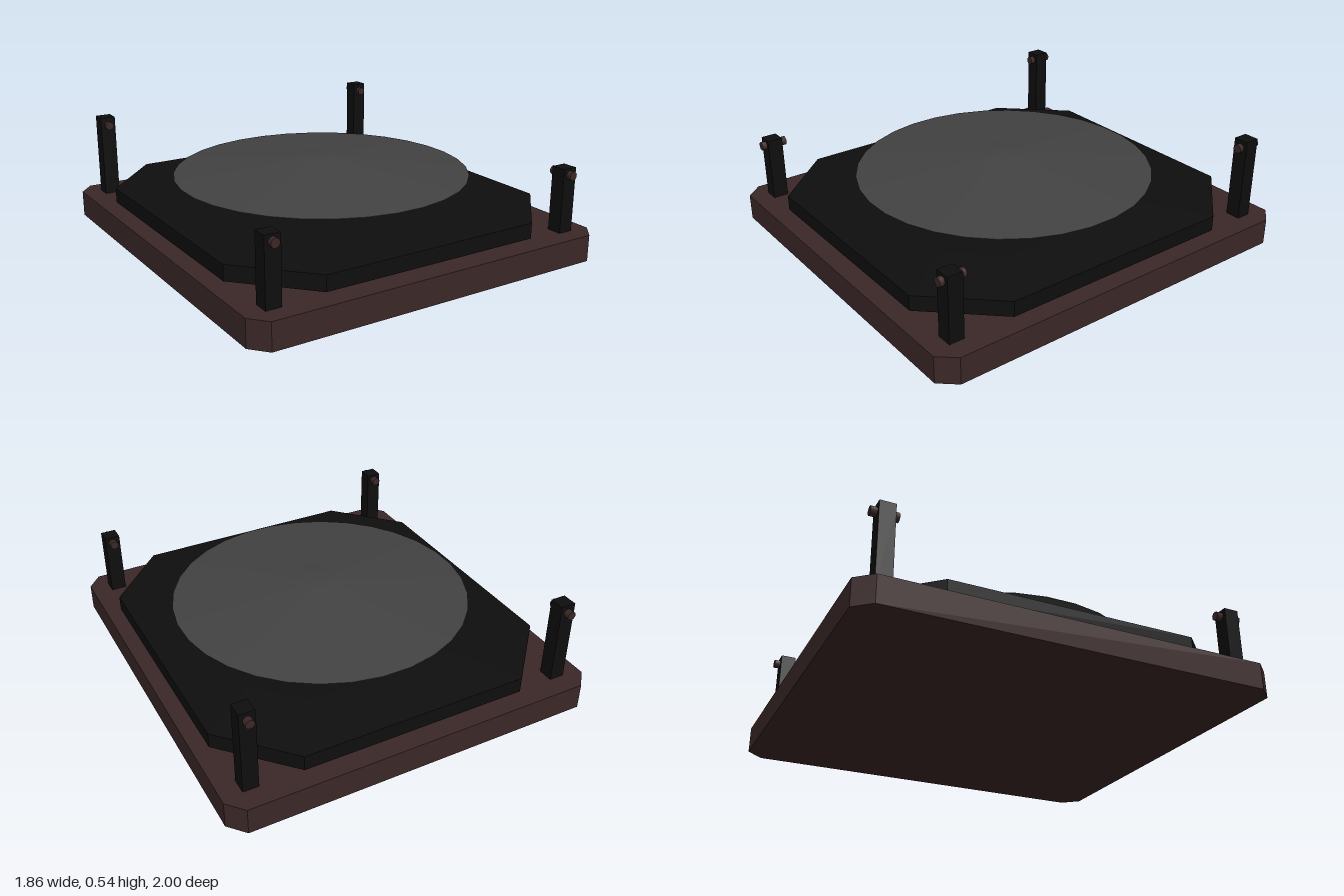
import * as THREE from 'three';

const flat = (name, color) => {
  const m = new THREE.MeshStandardMaterial({ color });
  m.name = name;
  return m;
};

// Rectangle outline with cut corners, counter-clockwise in x/y
function cutRect(w, d, cx, cy) {
  return [
    [w, -d + cy], [w, d - cy], [w - cx, d], [-w + cx, d],
    [-w, d - cy], [-w, -d + cy], [-w + cx, -d], [w - cx, -d],
  ];
}

// Faceted solid from a stack of scaled copies of an outline, bottom to top
function stack(outline, levels) {
  const pos = [];
  const n = outline.length;
  const at = ([s, y], i) => {
    const [x, z] = outline[i % n];
    return [x * s, y, -z * s];
  };
  for (let k = 0; k < levels.length - 1; k++) {
    for (let i = 0; i < n; i++) {
      const a = at(levels[k], i), b = at(levels[k], i + 1);
      const c = at(levels[k + 1], i + 1), d = at(levels[k + 1], i);
      pos.push(...a, ...b, ...c, ...a, ...c, ...d);
    }
  }
  const low = levels[0], high = levels[levels.length - 1];
  for (let i = 0; i < n; i++) {
    pos.push(0, low[1], 0, ...at(low, i + 1), ...at(low, i));
    pos.push(0, high[1], 0, ...at(high, i), ...at(high, i + 1));
  }
  const g = new THREE.BufferGeometry();
  g.setAttribute('position', new THREE.Float32BufferAttribute(pos, 3));
  g.computeVertexNormals();
  return g;
}

// Faceted turned solid with its flats facing the axes
function turned(points, sides) {
  const g = new THREE.LatheGeometry(points.map(([r, y]) => new THREE.Vector2(r, y)), sides, Math.PI / sides)
    .toNonIndexed();
  g.computeVertexNormals();
  return g;
}

export function createModel() {
  const brown = flat('dark brown', 0x3b2727);
  const black = flat('black', 0x0e0e0e);
  const grey = flat('dark grey', 0x424242);

  const model = new THREE.Group();
  const add = (name, geometry, material, parent = model) => {
    const mesh = new THREE.Mesh(geometry, material);
    mesh.name = name;
    parent.add(mesh);
    return mesh;
  };

  // Base board with small cut corners
  add('base', stack(cutRect(0.93, 1, 0.07, 0.08), [[1, 0], [1, 0.13]]), brown);

  // Octagonal plate, bevelled above and below
  add('plate', stack(cutRect(0.86, 0.92, 0.3, 0.32),
    [[0.7, 0.13], [1, 0.15], [1, 0.225], [0.68, 0.245]]), black);

  // Domed pedestal under the disc
  add('pedestal', turned([[0.325, 0.24], [0.305, 0.265], [0.283, 0.285],
    [0.258, 0.31], [0.225, 0.338]], 32), grey);

  // Wide shallow cone with a flat cap and flat underside
  add('disc', turned([[0, 0.335], [0.736, 0.335], [0.736, 0.338],
    [0.2, 0.393], [0.07, 0.409], [0, 0.41]], 32), grey);

  // Corner posts, taller at the back, each with a peg running front to back
  for (const side of [-1, 1]) {
    for (const [place, z, top, pegY, pegZ] of [
      ['front', 0.87, 0.445, 0.413, 0.866],
      ['back', -0.86, 0.54, 0.5, -0.863],
    ]) {
      const post = new THREE.Group();
      post.name = `${place}${side > 0 ? 'Left' : 'Right'}Post`;
      model.add(post);
      add('postShaft', new THREE.BoxGeometry(0.075, top - 0.12, 0.075), black, post)
        .position.set(side * 0.797, (top + 0.12) / 2, z);
      const peg = add('peg', new THREE.CylinderGeometry(0.022, 0.022, 0.128, 10), brown, post);
      peg.rotation.x = Math.PI / 2;
      peg.position.set(side * 0.797, pegY, pegZ);
    }
  }
  return model;
}
